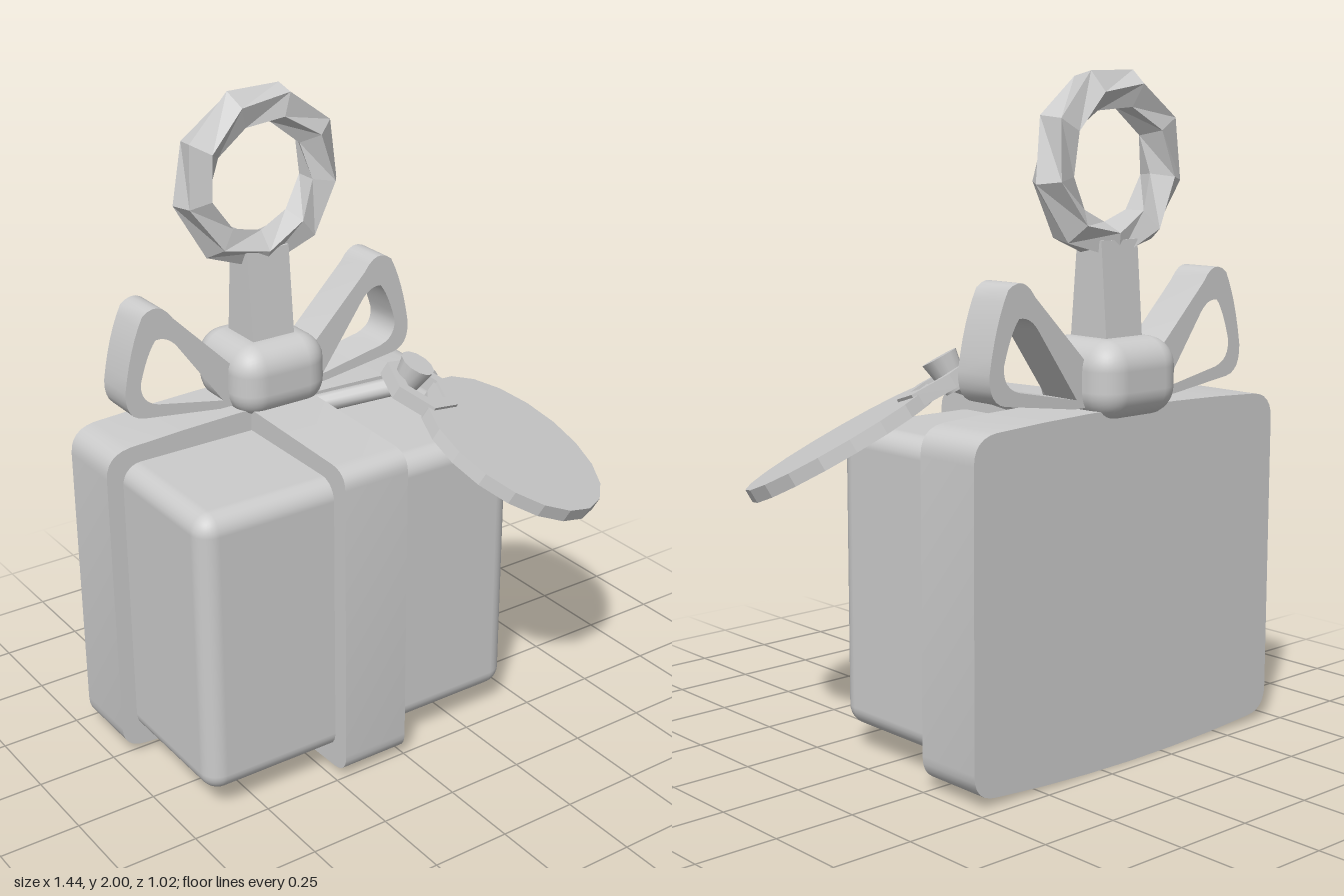
import * as THREE from 'three';
import { toCreasedNormals } from 'three/addons/utils/BufferGeometryUtils.js';
import { RoundedBoxGeometry } from 'three/addons/geometries/RoundedBoxGeometry.js';

const CX = -0.115; // middle plane of the gift
const BOW_Z = -0.345; // depth of bow and ring

const smooth = new THREE.MeshStandardMaterial({ color: 0xcccccc });
const faceted = new THREE.MeshStandardMaterial({ color: 0xcccccc, flatShading: true });

export function createModel() {
  const root = new THREE.Group();

  const add = (name, geometry, x, y, z, material = smooth, parent = root) => {
    const mesh = new THREE.Mesh(geometry, material);
    mesh.name = name;
    mesh.position.set(x, y, z);
    parent.add(mesh);
    return mesh;
  };
  const extrude = (shape, depth) =>
    toCreasedNormals(
      new THREE.ExtrudeGeometry(shape, { depth, bevelEnabled: false, curveSegments: 6 }), 0.6);
  const rod = (name, a, b, rTop, rBottom, sides) => {
    const dir = b.clone().sub(a);
    const g = toCreasedNormals(new THREE.CylinderGeometry(rTop, rBottom, dir.length(), sides), 0.9);
    const mid = a.clone().add(b).multiplyScalar(0.5);
    add(name, g, mid.x, mid.y, mid.z)
      .quaternion.setFromUnitVectors(new THREE.Vector3(0, 1, 0), dir.normalize());
  };

  // Front body of the gift
  add('giftBox', new RoundedBoxGeometry(1.105, 0.91, 0.6, 4, 0.06), CX, 0.535, -0.095);

  // Back slab, slightly bulged along top and bottom
  const w = 0.605, r = 0.08;
  const slab = new THREE.Shape();
  slab.moveTo(-w + r, 0.025);
  slab.quadraticCurveTo(0, -0.018, w - r, 0.025);
  slab.quadraticCurveTo(w, 0.03, w, 0.025 + r);
  slab.lineTo(w, 1.04 - r);
  slab.quadraticCurveTo(w, 1.035, w - r, 1.043);
  slab.quadraticCurveTo(0, 1.075, -w + r, 1.043);
  slab.quadraticCurveTo(-w, 1.035, -w, 1.04 - r);
  slab.lineTo(-w, 0.025 + r);
  slab.quadraticCurveTo(-w, 0.03, -w + r, 0.025);
  add('backSlab', extrude(slab, 0.222), CX, 0, -0.458);

  // Ribbon wrapped over the front, drawn in side profile
  const band = new THREE.Shape();
  band.moveTo(-0.3, 0.004);
  band.lineTo(0.2, 0.02);
  band.quadraticCurveTo(0.262, 0.025, 0.262, 0.085);
  band.lineTo(0.262, 0.985);
  band.quadraticCurveTo(0.262, 1.04, 0.2, 1.045);
  band.lineTo(-0.3, 1.06);
  band.closePath();
  add('ribbon', extrude(band, 0.22), CX + 0.11, 0, 0).rotation.y = -Math.PI / 2;

  // Knot
  add('knot', new RoundedBoxGeometry(0.32, 0.23, 0.32, 4, 0.085), CX, 1.14, -0.35);

  // Bow loops, mirrored
  for (const s of [-1, 1]) {
    const loop = new THREE.Shape();
    loop.moveTo(s * 0.1, 1.065);
    loop.lineTo(s * 0.19, 1.065);
    loop.lineTo(s * 0.45, 1.1);
    loop.quadraticCurveTo(s * 0.51, 1.11, s * 0.507, 1.19);
    loop.quadraticCurveTo(s * 0.485, 1.33, s * 0.44, 1.415);
    loop.quadraticCurveTo(s * 0.385, 1.46, s * 0.34, 1.39);
    loop.lineTo(s * 0.15, 1.2);
    loop.lineTo(s * 0.1, 1.16);
    const hole = new THREE.Path();
    hole.moveTo(s * 0.18, 1.09);
    hole.lineTo(s * 0.4, 1.133);
    hole.quadraticCurveTo(s * 0.46, 1.15, s * 0.455, 1.21);
    hole.quadraticCurveTo(s * 0.43, 1.3, s * 0.4, 1.335);
    hole.quadraticCurveTo(s * 0.36, 1.34, s * 0.33, 1.3);
    hole.closePath();
    loop.holes.push(hole);
    add(s < 0 ? 'bowLoopRight' : 'bowLoopLeft', extrude(loop, 0.13), CX, 0, BOW_Z - 0.065);
  }

  // Tapered post between knot and ring
  const post = new THREE.BoxGeometry(0.145, 0.32, 0.15);
  const pp = post.attributes.position;
  for (let i = 0; i < pp.count; i++) if (pp.getY(i) > 0) pp.setZ(i, pp.getZ(i) * 0.65);
  add('post', post, CX, 1.37, BOW_Z, faceted);

  // Faceted ring: a torus whose cross-section turns as it goes round
  const R = 5, T = 9;
  const ring = new THREE.TorusGeometry(0.222, 0.062, R, T);
  const rp = ring.attributes.position;
  for (let j = 0; j <= R; j++) {
    for (let i = 0; i <= T; i++) {
      const u = (i / T) * Math.PI * 2 + Math.PI / 2 + Math.PI / T;
      const v = ((j + (i / T) * 3) / R) * Math.PI * 2;
      const rad = 0.222 + 0.062 * Math.cos(v);
      rp.setXYZ(j * (T + 1) + i, rad * Math.cos(u), rad * Math.sin(u), 0.062 * Math.sin(v));
    }
  }
  add('ring', ring, CX, 1.74, BOW_Z, faceted);

  // Round tag with a hexagonal eyelet, tilted forward and to the left
  const tag = new THREE.Group();
  tag.name = 'tag';
  tag.position.set(0.425, 0.93, 0.21);
  tag.quaternion.setFromUnitVectors(
    new THREE.Vector3(0, 1, 0), new THREE.Vector3(0.35, 0.87, 0.35).normalize());
  root.add(tag);
  add('tagDisc', new THREE.CylinderGeometry(0.31, 0.31, 0.042, 19), 0, 0, 0, faceted, tag);

  const hex = (radius, target) => {
    for (let i = 0; i < 6; i++) {
      const a = (i / 6) * Math.PI * 2;
      target[i ? 'lineTo' : 'moveTo'](radius * Math.cos(a), radius * Math.sin(a));
    }
    target.closePath();
    return target;
  };
  const eyelet = hex(0.125, new THREE.Shape());
  eyelet.holes.push(hex(0.08, new THREE.Path()));
  const eyeletGeo = extrude(eyelet, 0.045);
  eyeletGeo.rotateX(-Math.PI / 2);
  eyeletGeo.rotateY(Math.PI / 12);
  add('tagEyelet', eyeletGeo, -0.235, -0.015, -0.235, smooth, tag);

  // String from knot to tag, ending in a flared stud
  const bend = new THREE.Vector3(0.195, 1.115, -0.025);
  rod('string', new THREE.Vector3(-0.03, 1.01, -0.25), bend, 0.03, 0.03, 10);
  rod('stud', new THREE.Vector3(0.185, 1.09, -0.035), new THREE.Vector3(0.22, 1.185, 0.005), 0.056, 0.035, 12);

  return root;
}
